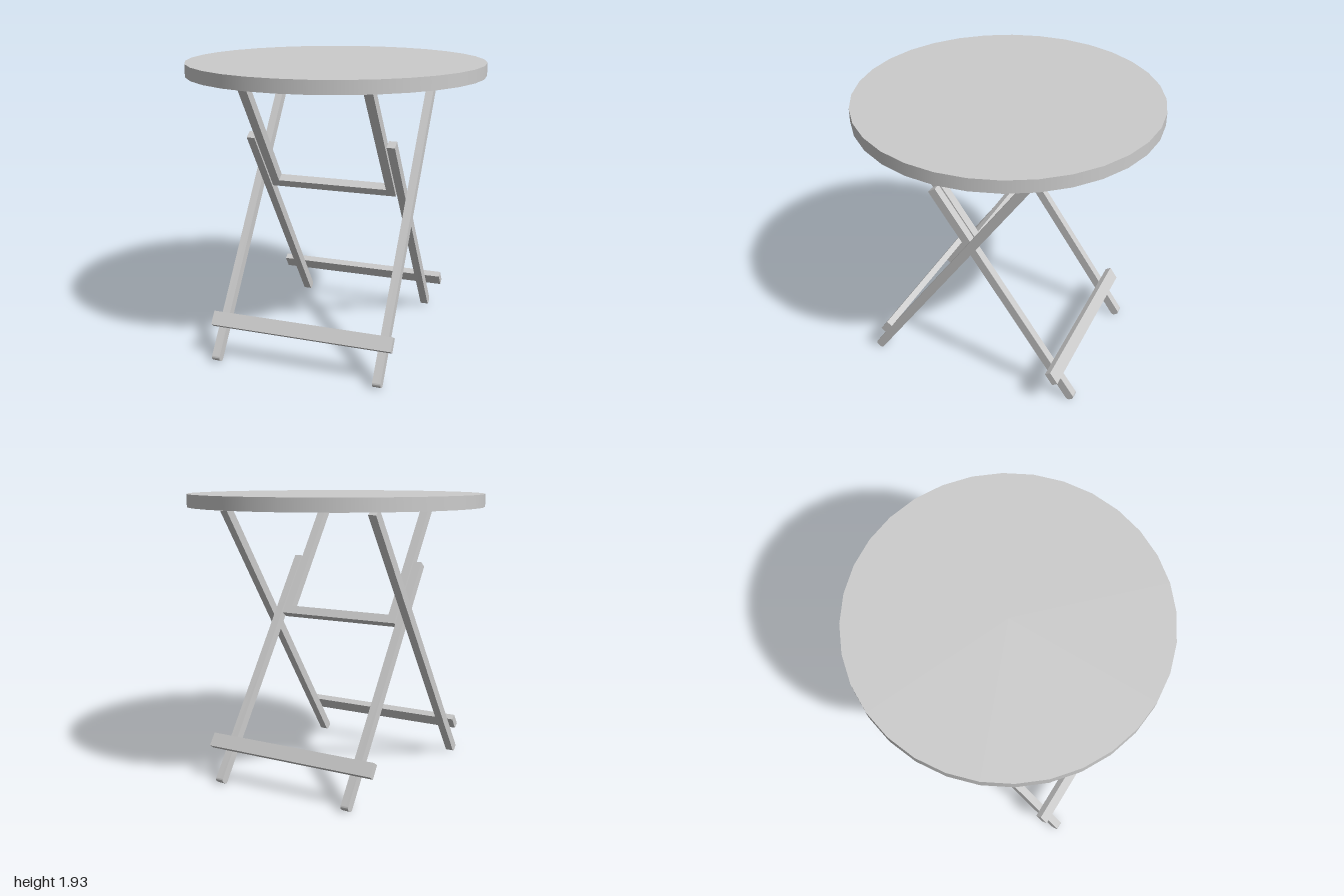
import * as THREE from 'three';
import { toCreasedNormals } from 'three/addons/utils/BufferGeometryUtils.js';

const TILT = Math.atan(0.696); // lean of each leg frame from vertical
const DEPTH = 0.06;            // leg thickness across the frame
const FOOT = -1.299;           // foot position along the leg, from the crossing

export function createModel() {
  const model = new THREE.Group();
  const material = new THREE.MeshStandardMaterial({ color: 0xcccccc });

  function add(parent, name, geometry, x, y, z) {
    const mesh = new THREE.Mesh(geometry, material);
    mesh.name = name;
    mesh.position.set(x, y, z);
    parent.add(mesh);
  }

  // Square-topped leg whose foot is rounded front and back
  function legGeometry(top, width) {
    const h = DEPTH / 2, r = 0.02;
    const shape = new THREE.Shape();
    shape.moveTo(h, top);
    shape.lineTo(-h, top);
    shape.lineTo(-h, FOOT + r);
    shape.absarc(-h + r, FOOT + r, r, Math.PI, Math.PI * 1.5, false);
    shape.absarc(h - r, FOOT + r, r, Math.PI * 1.5, Math.PI * 2, false);
    shape.closePath();
    const geometry = new THREE.ExtrudeGeometry(shape, { depth: width, bevelEnabled: false, curveSegments: 5 });
    geometry.translate(0, 0, -width / 2);
    geometry.rotateY(-Math.PI / 2);
    return toCreasedNormals(geometry, 0.6);
  }

  // Leaning pair of legs with a stretcher plank on its outer face;
  // side is +1 for feet at the front, -1 for feet at the back
  function legFrame(name, side, x, top) {
    const frame = new THREE.Group();
    frame.name = name;
    frame.position.set(0, 1.076, 0.04);
    frame.rotation.x = -side * TILT;
    for (const s of [-1, 1]) {
      add(frame, s > 0 ? 'leftLeg' : 'rightLeg', legGeometry(top, 0.055), s * x, 0, 0);
    }
    add(frame, 'stretcher', new THREE.BoxGeometry(1.25, 0.095, 0.045), 0, -1.035, side * 0.0525);
    model.add(frame);
    return frame;
  }

  // Round table top
  add(model, 'tableTop', new THREE.CylinderGeometry(1, 1, 0.085, 32), 0, 1.8925, 0);

  // Wide frame reaching the top, and narrow shorter frame crossing inside it
  legFrame('outerFrame', 1, 0.5575, 0.931);
  const inner = legFrame('innerFrame', -1, 0.4875, 0.459);

  // U-shaped support continuing the inner frame up to the table top
  const support = new THREE.Group();
  support.name = 'upperSupport';
  inner.add(support);
  const low = -0.016, high = 0.931;
  for (const s of [-1, 1]) {
    add(support, s > 0 ? 'leftArm' : 'rightArm',
      new THREE.BoxGeometry(0.06, high - low, DEPTH), s * 0.42, (low + high) / 2, 0);
  }
  add(support, 'crossbar', new THREE.BoxGeometry(0.78, 0.06, DEPTH), 0, 0.014, 0);

  return model;
}
